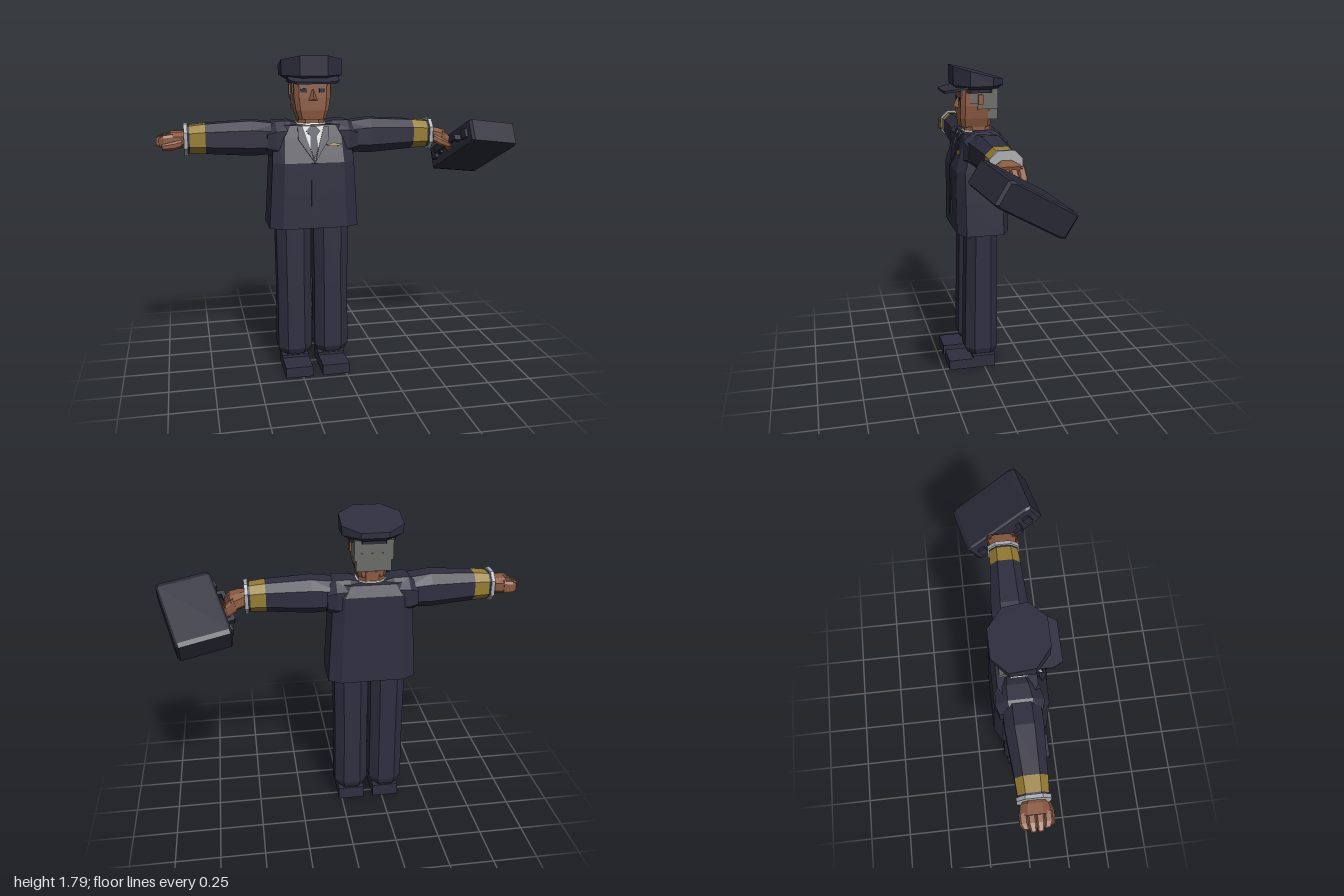
import * as THREE from 'three';

const mat = (name, color) => {
  const m = new THREE.MeshStandardMaterial({ color });
  m.name = name;
  return m;
};

export function createModel() {
  const suit = mat('navy suit', 0x2f2e3f);
  const skin = mat('skin', 0x8c5a42);
  const hair = mat('grey hair', 0x6b6b67);
  const gold = mat('gold braid', 0x967d32);
  const shirt = mat('white shirt', 0xd4d4d2);
  const cuffGrey = mat('cuff grey', 0xabadb1);
  const dark = mat('dark blue', 0x26293c);
  const leather = mat('case leather', 0x2a2a38);

  const root = new THREE.Group();
  root.name = 'uniformedMan';
  const body = new THREE.Group();
  body.name = 'body';
  body.position.x = -0.165;
  root.add(body);

  const add = (name, geo, material, parent = body) => {
    const m = new THREE.Mesh(geo, material);
    m.name = name;
    parent.add(m);
    return m;
  };
  const box = (name, material, w, h, d, x, y, z, parent = body) => {
    const m = add(name, new THREE.BoxGeometry(w, h, d), material, parent);
    m.position.set(x, y, z);
    return m;
  };

  // Faceted skin over a row of rings, capped at both ends and turned outward
  const loft = (rings) => {
    const tris = [];
    const n = rings[0].length;
    for (let r = 0; r < rings.length - 1; r++) {
      for (let i = 0; i < n; i++) {
        const j = (i + 1) % n, a = rings[r], b = rings[r + 1];
        tris.push([a[i], a[j], b[j]], [a[i], b[j], b[i]]);
      }
    }
    const first = rings[0], last = rings[rings.length - 1];
    for (let i = 1; i < n - 1; i++) {
      tris.push([first[0], first[i + 1], first[i]], [last[0], last[i], last[i + 1]]);
    }
    const o = first[0];
    const volume = tris.reduce((s, [a, b, c]) =>
      s + a.clone().sub(o).dot(b.clone().sub(o).cross(c.clone().sub(o))), 0);
    if (volume < 0) tris.forEach((t) => t.reverse());
    const g = new THREE.BufferGeometry().setFromPoints(tris.flat());
    g.computeVertexNormals();
    return g;
  };

  // Eight-sided ring: a rectangle with cut corners, across y or across x
  const corners = (hu, hv, ku, kv) => [
    [hu, kv], [ku, hv], [-ku, hv], [-hu, kv], [-hu, -kv], [-ku, -hv], [ku, -hv], [hu, -kv]];
  const ringY = (y, cx, hx, z0, z1, k = 0.5) => {
    const hz = (z1 - z0) / 2, cz = (z0 + z1) / 2;
    return corners(hx, hz, hx * k, hz * k).map(([u, v]) => new THREE.Vector3(cx + u, y, cz + v));
  };
  const ringX = (x, cy, hy, cz, hz, k = 0.5) =>
    corners(hy, hz, hy * k, hz * k).map(([u, v]) => new THREE.Vector3(x, cy + u, cz + v));

  // Jacket
  add('jacket', loft([
    ringY(0.855, 0, 0.248, -0.14, 0.16, 0.72), ringY(1.05, 0, 0.236, -0.135, 0.16, 0.72),
    ringY(1.22, 0, 0.226, -0.13, 0.16, 0.72), ringY(1.36, 0, 0.215, -0.13, 0.118, 0.72),
    ringY(1.42, 0, 0.17, -0.105, 0.1, 0.72)]), suit);
  box('frontPlacket', suit, 0.04, 0.29, 0.014, 0, 1.075, 0.16);

  // Shirt, tie, lapels and wings lie on the sloping chest
  const chest = new THREE.Group();
  chest.name = 'chestDetails';
  chest.position.set(0, 1.22, 0.16);
  chest.rotation.x = -Math.atan(0.3);
  body.add(chest);
  const plate = (name, material, pts, z, depth = 0.004) => {
    const s = new THREE.Shape(pts.map(([x, y]) => new THREE.Vector2(x, y)));
    const m = add(name, new THREE.ExtrudeGeometry(s, { depth, bevelEnabled: false }), material, chest);
    m.position.z = z;
  };
  plate('shirtFront', shirt, [[0, 0.015], [0.062, 0.2], [-0.062, 0.2]], 0);
  plate('tie', dark, [[0, 0.02], [0.022, 0.08], [0.017, 0.145], [0.04, 0.175], [0.018, 0.198],
    [-0.018, 0.198], [-0.04, 0.175], [-0.017, 0.145], [-0.022, 0.08]], 0.004);
  for (const s of [-1, 1]) {
    plate('lapel', suit, [[0, 0], [0.085 * s, 0.13], [0.085 * s, 0.2], [0.058 * s, 0.2]], 0.003, 0.006);
  }
  plate('wingsBadge', gold, [[0.06, 0.102], [0.085, 0.09], [0.135, 0.09], [0.158, 0.102],
    [0.125, 0.102], [0.11, 0.112], [0.095, 0.102]], 0.002, 0.006);
  add('shirtCollar', loft([ringY(1.39, 0, 0.085, -0.075, 0.098), ringY(1.428, 0, 0.08, -0.07, 0.085)]), shirt);

  // Legs and shoes
  for (const s of [-1, 1]) {
    const x = 0.106 * s;
    add('trouserLeg', loft([
      ringY(0.095, x, 0.085, -0.075, 0.1), ringY(0.13, x, 0.098, -0.085, 0.115),
      ringY(0.5, x, 0.096, -0.08, 0.107), ringY(0.9, x, 0.1, -0.075, 0.1)]), suit);
    box('ankle', suit, 0.095, 0.06, 0.12, x, 0.085, 0.005);
    box('shoeHeel', suit, 0.155, 0.075, 0.135, x, 0.0375, 0.0025);
    box('shoeToe', suit, 0.155, 0.06, 0.145, x, 0.03, 0.1425);
  }

  // Arms, cuffs and hands
  for (const s of [-1, 1]) {
    const side = s > 0 ? 'left' : 'right';
    add(side + 'Shoulder', loft([
      ringX(0.07 * s, 1.34, 0.085, -0.01, 0.09), ringX(0.12 * s, 1.34, 0.1, -0.005, 0.11),
      ringX(0.2 * s, 1.34, 0.1, 0, 0.125), ringX(0.25 * s, 1.335, 0.075, 0, 0.108)]), suit);
    add(side + 'Sleeve', loft([
      ringX(0.18 * s, 1.345, 0.082, 0.005, 0.098), ringX(0.33 * s, 1.35, 0.095, 0.006, 0.098),
      ringX(0.577 * s, 1.352, 0.08, 0.01, 0.082)]), suit);
    add(side + 'GoldBand', loft([
      ringX(0.577 * s, 1.352, 0.08, 0.01, 0.082), ringX(0.66 * s, 1.35, 0.073, 0.01, 0.077)]), gold);
    add(side + 'SleeveEnd', loft([
      ringX(0.66 * s, 1.35, 0.073, 0.01, 0.077), ringX(0.672 * s, 1.35, 0.072, 0.01, 0.076)]), suit);
    add(side + 'Cuff', loft([
      ringX(0.67 * s, 1.35, 0.085, 0.01, 0.085), ringX(0.69 * s, 1.35, 0.085, 0.01, 0.085)]), cuffGrey);

    const hand = new THREE.Group();
    hand.name = side + 'Hand';
    hand.position.set(0.685 * s, 1.35, 0.01);
    if (s > 0) hand.rotation.z = -0.3;
    body.add(hand);
    add('palm', loft([
      ringX(-0.01 * s, 0, 0.035, 0, 0.045), ringX(0.02 * s, 0, 0.043, 0, 0.068),
      ringX(0.075 * s, 0, 0.045, 0, 0.08)]), skin, hand);
    const curl = s > 0 ? 0.045 : 0.008;
    for (let i = 0; i < 4; i++) {
      const z = -0.06 + i * 0.04;
      const tip = (i === 0 || i === 3) ? 0.135 : 0.15;
      add('finger', loft([
        ringX(0.06 * s, 0, 0.036, z, 0.021, 0.6), ringX(0.11 * s, -curl * 0.4, 0.033, z, 0.021, 0.6),
        ringX(tip * s, -curl, 0.022, z * 0.85, 0.015, 0.6)]), skin, hand);
    }
    add('thumb', loft([
      ringX(0.015 * s, -0.015, 0.02, 0.06, 0.02), ringX(0.06 * s, -0.025, 0.022, 0.076, 0.018),
      ringX(0.12 * s, -0.03, 0.015, 0.075, 0.014)]), skin, hand);
  }

  // Head
  add('neck', loft([ringY(1.39, 0, 0.072, -0.065, 0.083), ringY(1.48, 0, 0.072, -0.065, 0.083)]), skin);
  add('head', loft([
    ringY(1.45, 0, 0.073, -0.06, 0.105, 0.75), ringY(1.5, 0, 0.09, -0.065, 0.113, 0.75),
    ringY(1.57, 0, 0.1, -0.07, 0.113, 0.75), ringY(1.67, 0, 0.1, -0.07, 0.11, 0.75)]), skin);
  const v = (x, y, z) => new THREE.Vector3(x, y, z);
  add('nose', loft([
    [v(-0.028, 1.552, 0.108), v(0.028, 1.552, 0.108), v(0, 1.56, 0.143)],
    [v(-0.007, 1.612, 0.108), v(0.007, 1.612, 0.108), v(0, 1.612, 0.117)]]), skin);
  box('hairBackUpper', hair, 0.212, 0.11, 0.085, 0, 1.61, -0.051);
  box('hairBackLower', hair, 0.19, 0.1, 0.055, 0, 1.545, -0.0675);
  for (const s of [-1, 1]) {
    box('sideburn', hair, 0.014, 0.075, 0.065, 0.101 * s, 1.625, 0.033);
    box('sideburnTip', hair, 0.012, 0.05, 0.02, 0.1 * s, 1.575, 0.012);
    box('ear', skin, 0.02, 0.055, 0.03, 0.108 * s, 1.608, 0.006);
    box('eye', dark, 0.032, 0.02, 0.008, 0.05 * s, 1.606, 0.111);
    box('eyebrow', hair, 0.05, 0.012, 0.009, 0.055 * s, 1.637, 0.11);
  }

  // Peaked cap: the crown top slopes down to the back
  const crownTop = ringY(0, 0, 0.167, -0.13, 0.155, 0.45);
  crownTop.forEach((p) => { p.y = 1.79 - 0.263 * (0.155 - p.z); });
  add('capBand', loft([
    ringY(1.645, 0, 0.122, -0.098, 0.118, 0.5), ringY(1.69, 0, 0.126, -0.1, 0.12, 0.5)]), suit);
  add('capCrown', loft([
    ringY(1.665, 0, 0.132, -0.108, 0.125, 0.45), ringY(1.685, 0, 0.165, -0.13, 0.153, 0.45),
    crownTop]), suit);
  const visorShape = new THREE.Shape([[-0.138, 0], [0.138, 0], [0.135, 0.09], [0.105, 0.142],
    [-0.105, 0.142], [-0.135, 0.09]].map(([x, y]) => new THREE.Vector2(x, y)));
  const visor = add('capVisor',
    new THREE.ExtrudeGeometry(visorShape, { depth: 0.012, bevelEnabled: false }), suit);
  visor.position.set(0, 1.685, 0.072);
  visor.rotation.x = Math.PI / 2 + 0.2;

  // Briefcase hanging from the left hand
  const briefcase = new THREE.Group();
  briefcase.name = 'briefcase';
  const across = v(0.966, -0.13, -0.215).normalize();
  const along = across.clone().cross(v(0, 0.86, -0.51)).normalize();
  const thick = along.clone().cross(across);
  briefcase.quaternion.setFromRotationMatrix(new THREE.Matrix4().makeBasis(across, thick, along));
  briefcase.position.set(0.8, 1.26, 0);
  root.add(briefcase);
  add('caseShell', loft([
    ringX(-0.152, 0, 0.062, 0, 0.205, 0.88), ringX(-0.14, 0, 0.07, 0, 0.22, 0.88),
    ringX(0.14, 0, 0.07, 0, 0.22, 0.88), ringX(0.152, 0, 0.062, 0, 0.205, 0.88)]), leather, briefcase);
  box('handleBar', leather, 0.022, 0.03, 0.2, -0.19, 0, 0, briefcase);
  for (const s of [-1, 1]) {
    box('handlePost', leather, 0.05, 0.03, 0.025, -0.17, 0, 0.095 * s, briefcase);
    box('latch', leather, 0.022, 0.05, 0.04, -0.158, 0, 0.155 * s, briefcase);
  }
  return root;
}
